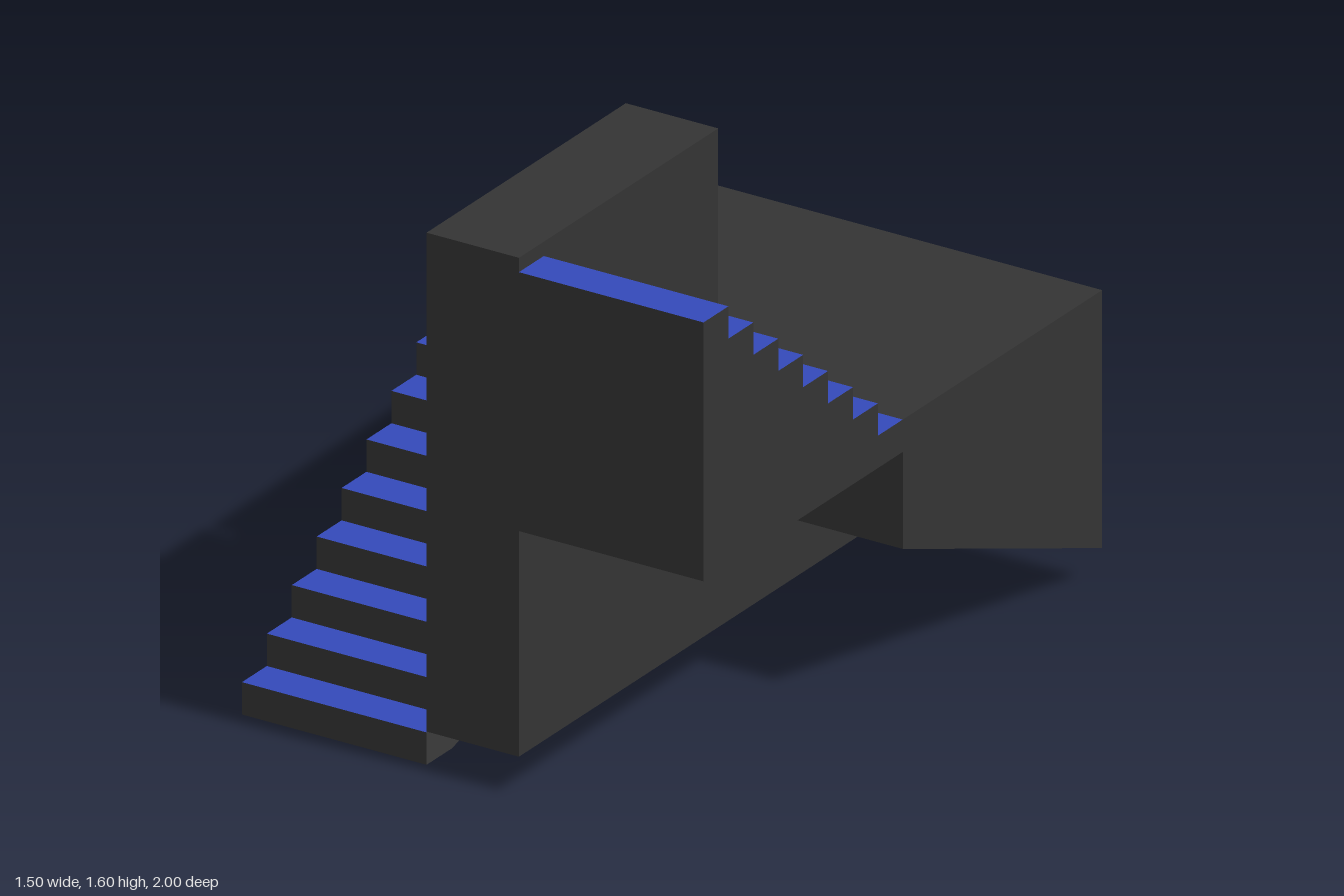
import * as THREE from 'three';

const RISE = 0.0973, RUN = 0.125, STEPS = 8;
const OUT = 0.75, IN = 0.15, BASE = 0.1, WALL_TOP = 1.6;
const DECK = 9 * RISE, TOP = 16 * RISE, SOFFIT = 8 * RISE, SLOPE = 5 * RISE;

export function createModel() {
  const concrete = new THREE.MeshStandardMaterial({ color: 0x343434, side: THREE.DoubleSide });
  concrete.name = 'dark concrete';
  const carpet = new THREE.MeshStandardMaterial({ color: 0x3449b9, side: THREE.DoubleSide });
  carpet.name = 'blue tread';

  const model = new THREE.Group();
  model.name = 'staircase';
  const part = (name) => {
    const g = new THREE.Group();
    g.name = name;
    model.add(g);
    return g;
  };

  // Sweeps a [z, y] path across x, one flat quad per segment
  function strip(parent, name, material, x0, x1, path) {
    const pos = [];
    for (let i = 0; i + 1 < path.length; i++) {
      const [pz, py] = path[i], [qz, qy] = path[i + 1];
      pos.push(x0, py, pz, x1, py, pz, x1, qy, qz);
      pos.push(x0, py, pz, x1, qy, qz, x0, qy, qz);
    }
    const geo = new THREE.BufferGeometry();
    geo.setAttribute('position', new THREE.Float32BufferAttribute(pos, 3));
    geo.computeVertexNormals();
    const mesh = new THREE.Mesh(geo, material);
    mesh.name = name;
    parent.add(mesh);
  }

  // Flat upright panel at x, outlined in [z, y], facing +x or -x
  function panel(parent, name, x, facing, outline) {
    const shape = new THREE.Shape(outline.map(([z, y]) => new THREE.Vector2(-facing * z, y)));
    const geo = new THREE.ShapeGeometry(shape);
    geo.rotateY(facing * Math.PI / 2);
    geo.translate(x, 0, 0);
    const mesh = new THREE.Mesh(geo, concrete);
    mesh.name = name;
    parent.add(mesh);
  }

  // Stepped outlines, from the front to the landing
  const lowerSteps = [[1, 0]], upperSteps = [];
  for (let i = 0; i < STEPS; i++) {
    const z = 1 - i * RUN, yLow = (i + 1) * RISE, yHigh = TOP - i * RISE;
    lowerSteps.push([z, yLow], [z - RUN, yLow]);
    upperSteps.push([z, yHigh], [z - RUN, yHigh]);
  }
  lowerSteps.push([0, DECK]);

  // Lays treads on level segments and risers on upright ones
  function steps(parent, x0, x1, path) {
    for (let i = 0; i + 1 < path.length; i++) {
      const level = path[i][1] === path[i + 1][1];
      strip(parent, level ? 'tread' : 'riser', level ? carpet : concrete, x0, x1, [path[i], path[i + 1]]);
    }
  }

  // Lower flight, rising from the front on the right
  const lower = part('lowerFlight');
  const lowerSoffit = [[0, BASE], [0.43, BASE], [0.875, 0], [1, 0]];
  steps(lower, -OUT, -IN, lowerSteps);
  strip(lower, 'soffit', concrete, -OUT, -IN, lowerSoffit);
  panel(lower, 'outerSide', -OUT, -1, [...lowerSteps, ...lowerSoffit.slice(0, 3)]);

  // Upper flight, rising from the landing to the front on the left
  const upper = part('upperFlight');
  steps(upper, IN, OUT, upperSteps);
  strip(upper, 'soffitAndEnd', concrete, IN, OUT, [[0, SOFFIT], [1, SOFFIT], [1, TOP]]);
  panel(upper, 'outerSide', OUT, 1, [[1, SOFFIT], ...upperSteps, [0, SOFFIT]]);

  // Landing with a sloping underside on the left
  const landing = part('landing');
  strip(landing, 'deckAndBack', concrete, -OUT, OUT, [[0, DECK], [-1, DECK], [-1, BASE]]);
  strip(landing, 'flatSoffit', concrete, -OUT, IN, [[-1, BASE], [0, BASE]]);
  strip(landing, 'slopedSoffit', concrete, IN, OUT, [[-1, BASE], [0, SLOPE], [0, SOFFIT]]);
  panel(landing, 'rightSide', -OUT, -1, [[0, BASE], [0, DECK], [-1, DECK], [-1, BASE]]);
  panel(landing, 'leftSide', OUT, 1, [[0, SLOPE], [0, DECK], [-1, DECK], [-1, BASE]]);
  panel(landing, 'innerSide', IN, 1, [[0, BASE], [0, SLOPE], [-1, BASE]]);

  // Middle wall between the flights, open beneath
  const wall = part('middleWall');
  strip(wall, 'frontTopBack', concrete, -IN, IN, [[1, BASE], [1, WALL_TOP], [0, WALL_TOP], [0, DECK]]);
  panel(wall, 'rightFace', -IN, -1, [...lowerSteps.slice(1), [0, WALL_TOP], [1, WALL_TOP]]);
  panel(wall, 'leftUpperFace', IN, 1, [...upperSteps, [0, WALL_TOP], [1, WALL_TOP]]);
  panel(wall, 'leftLowerFace', IN, 1, [[1, BASE], [1, SOFFIT], [0, SOFFIT], [0, BASE]]);

  return model;
}
